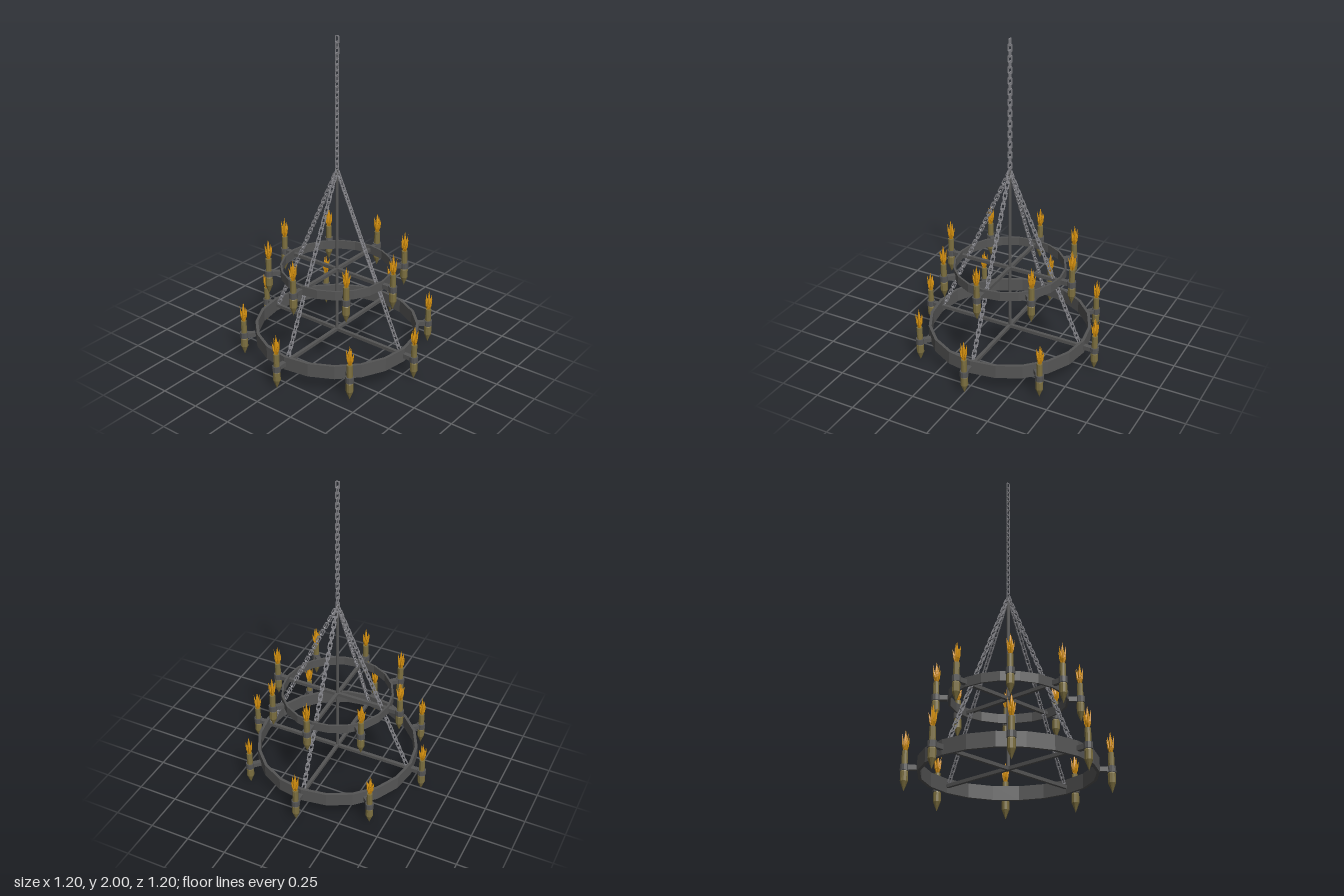
import * as THREE from 'three';
import { mergeGeometries } from 'three/addons/utils/BufferGeometryUtils.js';

const mat = (color, extra = {}) => new THREE.MeshStandardMaterial({ color, flatShading: true, ...extra });
const iron = mat(0x555555);
const steel = mat(0x85858a);
const brass = mat(0x7d7040);
const fire = mat(0xd9930f, { side: THREE.DoubleSide });
const V = (x, y) => new THREE.Vector2(x, y);

function add(parent, name, geometry, material, x = 0, y = 0, z = 0) {
  const mesh = new THREE.Mesh(geometry, material);
  mesh.name = name;
  mesh.position.set(x, y, z);
  parent.add(mesh);
  return mesh;
}

// One chain link: a chamfered rectangular loop standing along y
function linkGeometry(length, width, wire) {
  const outline = (l, w, c, T) => new T([
    V(-w + c, -l), V(w - c, -l), V(w, -l + c), V(w, l - c),
    V(w - c, l), V(-w + c, l), V(-w, l - c), V(-w, -l + c),
  ]);
  const shape = outline(length / 2, width / 2, 0.004, THREE.Shape);
  shape.holes.push(outline(length / 2 - wire, width / 2 - wire, 0.002, THREE.Path));
  const g = new THREE.ExtrudeGeometry(shape, { depth: wire, bevelEnabled: false });
  return g.translate(0, 0, -wire / 2);
}

// Chain of links turned by 90 degrees in alternation, from one point to another
function chain(parent, name, from, to) {
  const dir = to.clone().sub(from);
  const span = dir.length();
  const length = 0.046;
  const count = Math.round((span - length) / 0.032) + 1;
  const pitch = (span - length) / (count - 1);
  const links = [];
  for (let i = 0; i < count; i++) {
    links.push(linkGeometry(length, 0.027, 0.0055)
      .rotateY((i % 2) * Math.PI / 2)
      .translate(0, length / 2 + i * pitch, 0));
  }
  const mesh = add(parent, name, mergeGeometries(links), steel);
  mesh.position.copy(from);
  mesh.quaternion.setFromUnitVectors(new THREE.Vector3(0, 1, 0), dir.normalize());
}

// Flame: a tall centre tongue with smaller tongues leaning outward
function flameGeometry() {
  const tongue = (r, h) => new THREE.LatheGeometry(
    [V(0.003, 0), V(r, h * 0.35), V(r * 0.65, h * 0.62), V(0, h)], 5);
  const parts = [tongue(0.013, 0.13)];
  for (let i = 0; i < 6; i++) {
    parts.push(tongue(0.008, i % 2 ? 0.085 : 0.108)
      .rotateZ(i % 2 ? -0.22 : -0.15)
      .translate(0.006, 0, 0)
      .rotateY(i * Math.PI / 3 + 0.3));
  }
  return mergeGeometries(parts);
}

const candleGeometry = new THREE.LatheGeometry([
  V(0, 0), V(0.012, 0.03), V(0.023, 0.058), V(0.023, 0.11),
  V(0.018, 0.12), V(0.018, 0.232), V(0, 0.232),
], 10);
const flame = flameGeometry();

// Candle, collar and arm, laid out along +x at the given ring radius
function torch(ringRadius, candleRadius) {
  const g = new THREE.Group();
  g.name = 'candleArm';
  const length = candleRadius - ringRadius;
  add(g, 'arm', new THREE.BoxGeometry(length, 0.028, 0.028), iron, ringRadius + length / 2, 0.135, 0);
  add(g, 'collar', new THREE.CylinderGeometry(0.026, 0.026, 0.036, 10), iron, candleRadius, 0.135, 0);
  add(g, 'candle', candleGeometry, brass, candleRadius, 0, 0);
  add(g, 'flame', flame, fire, candleRadius, 0.23, 0);
  return g;
}

// One tier: twenty-sided hoop, crossed spokes and eight candles
function tier(name, { y, radius, thickness, height, candleRadius }) {
  const g = new THREE.Group();
  g.name = name;
  g.position.y = y;
  const inner = radius - thickness;
  const low = 0.137 - height / 2, high = 0.137 + height / 2;
  add(g, 'hoop', new THREE.LatheGeometry(
    [V(inner, low), V(radius, low), V(radius, high), V(inner, high), V(inner, low)], 20), iron);
  add(g, 'spokeAcross', new THREE.BoxGeometry(inner * 2, 0.02, 0.02), iron, 0, 0.135, 0);
  add(g, 'spokeDeep', new THREE.BoxGeometry(0.02, 0.02, inner * 2), iron, 0, 0.135, 0);
  for (let i = 0; i < 8; i++) {
    const t = torch(radius, candleRadius);
    t.rotation.y = i * Math.PI / 4;
    g.add(t);
  }
  return g;
}

export function createModel() {
  const model = new THREE.Group();
  model.name = 'chandelier';

  model.add(tier('lowerTier', { y: 0, radius: 0.507, thickness: 0.018, height: 0.085, candleRadius: 0.575 }));
  model.add(tier('upperTier', { y: 0.415, radius: 0.345, thickness: 0.012, height: 0.056, candleRadius: 0.413 }));

  // Centre pole joining both tiers to the hanging point
  add(model, 'centrePole', new THREE.CylinderGeometry(0.01, 0.01, 1.065, 8), iron, 0, 0.6675, 0);

  // Hanging chain and four slanted support chains
  const apex = new THREE.Vector3(0, 1.2, 0);
  chain(model, 'hangingChain', new THREE.Vector3(0, 1.18, 0), new THREE.Vector3(0, 2, 0));
  for (let i = 0; i < 4; i++) {
    const a = i * Math.PI / 2;
    const foot = new THREE.Vector3(Math.cos(a) * 0.475, 0.15, Math.sin(a) * 0.475);
    chain(model, 'supportChain', foot, apex);
  }
  return model;
}
